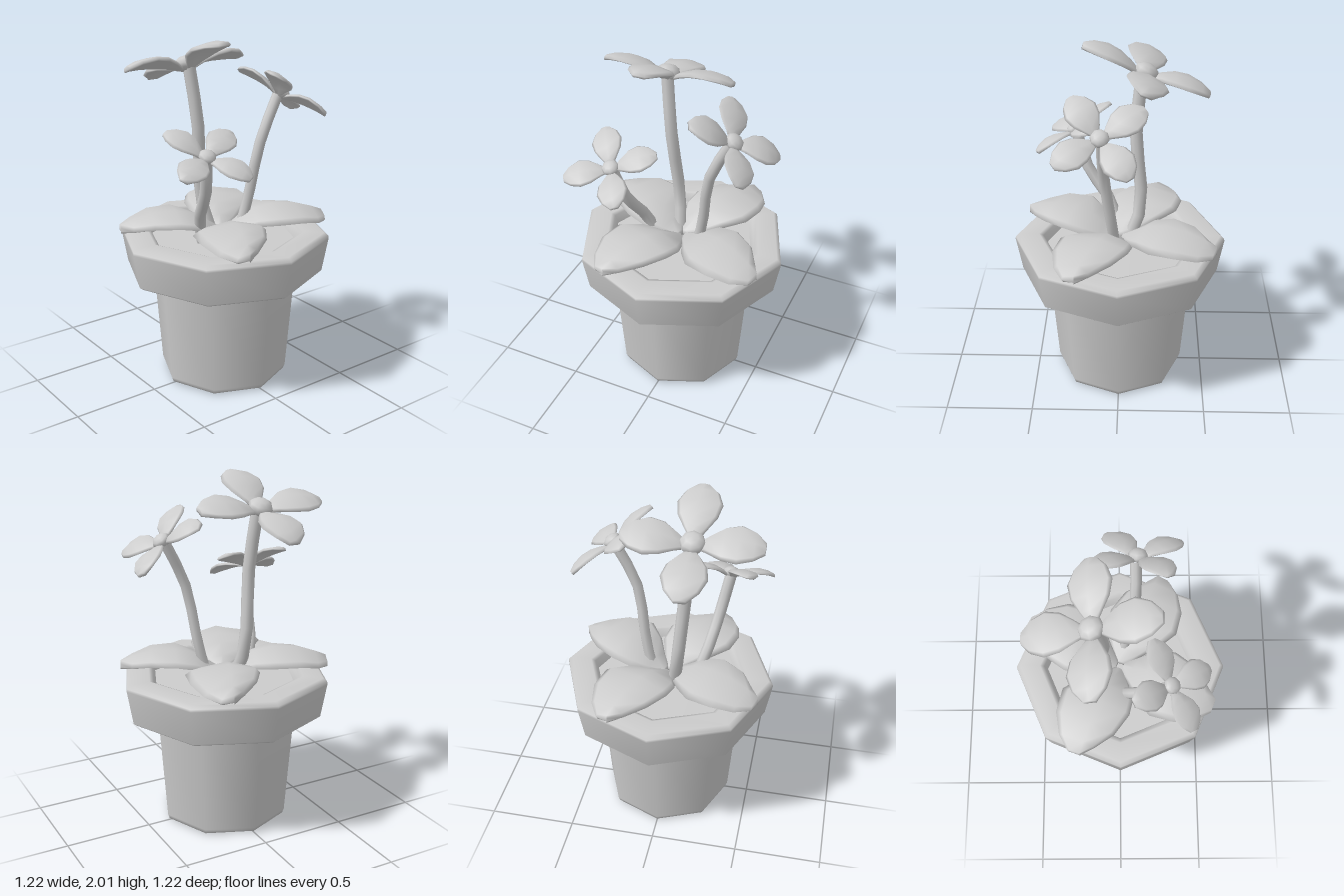
import * as THREE from 'three';

const mat = new THREE.MeshStandardMaterial({ color: 0xcccccc });
const V = (p) => new THREE.Vector3(...p);

function add(parent, name, geometry) {
  const mesh = new THREE.Mesh(geometry, mat);
  mesh.name = name;
  parent.add(mesh);
  return mesh;
}

// Octagonal turned part with corners on the axes
function turned(profile) {
  return new THREE.LatheGeometry(profile.map(([r, y]) => new THREE.Vector2(r, y)), 8);
}

// Puffy blade along +x. Each section: [x, width to -z, width to +z, height]
function blade(sections, thick, camber) {
  const ring = [[-1, 0.5], [-0.85, 0.9], [0, 1], [0.85, 0.9], [1, 0.5], [0.85, 0.1], [0, 0], [-0.85, 0.1]];
  const n = ring.length, pos = [], idx = [];
  for (const [x, wn, wp, y] of sections) {
    const wMax = Math.max(wn, wp);
    for (const [s, t] of ring) {
      const z = s < 0 ? s * wn : s * wp;
      pos.push(x, y - camber * s * s * Math.min(1, wMax * 8) + (t - 0.5) * thick, z);
    }
  }
  for (let i = 0; i < sections.length - 1; i++) {
    for (let j = 0; j < n; j++) {
      const a = i * n + j, b = i * n + (j + 1) % n;
      idx.push(a, b, b + n, a, b + n, a + n);
    }
  }
  const last = (sections.length - 1) * n;
  for (let j = 1; j < n - 1; j++) {
    idx.push(0, j + 1, j, last, last + j, last + j + 1);
  }
  const g = new THREE.BufferGeometry();
  g.setAttribute('position', new THREE.Float32BufferAttribute(pos, 3));
  g.setIndex(idx);
  g.computeVertexNormals();
  return g;
}

// Flower of four petals and a round heart, facing along `normal`
function flower(name, center, normal, petalDir, scale) {
  const group = new THREE.Group();
  group.name = name;
  const petal = blade([
    [0.04, 0.025, 0.025, -0.015],
    [0.09, 0.06, 0.06, 0.01],
    [0.16, 0.105, 0.105, 0.035],
    [0.24, 0.122, 0.122, 0.045],
    [0.32, 0.09, 0.09, 0.035],
    [0.375, 0.035, 0.035, 0.015],
  ], 0.03, 0.02);
  for (let k = 0; k < 4; k++) add(group, 'petal', petal).rotation.y = k * Math.PI / 2;
  const heart = add(group, 'flowerHeart', new THREE.SphereGeometry(0.07, 8, 6));
  heart.scale.y = 0.65;
  heart.position.y = 0.005;
  const y = V(normal).normalize();
  const z = V(petalDir).cross(y).normalize();
  const x = y.clone().cross(z);
  group.quaternion.setFromRotationMatrix(new THREE.Matrix4().makeBasis(x, y, z));
  group.position.set(...center);
  group.scale.setScalar(scale);
  return group;
}

// Bent stem with a few straight segments
function stem(points, radius) {
  const path = new THREE.CatmullRomCurve3(points.map(V), false, 'centripetal');
  return new THREE.TubeGeometry(path, 6, radius, 8);
}

export function createModel() {
  const model = new THREE.Group();
  model.name = 'pottedFlowers';

  // Pot
  add(model, 'potBody', turned([[0, 0], [0.34, 0], [0.365, 0.008], [0.375, 0.035], [0.422, 0.66]]));
  add(model, 'potRim', turned([
    [0.40, 0.645], [0.555, 0.645], [0.575, 0.66], [0.61, 0.86], [0.608, 0.875],
    [0.585, 0.895], [0.47, 0.895], [0.445, 0.885], [0.425, 0.83],
  ]));
  add(model, 'soil', turned([[0.44, 0.835], [0, 0.84]]));

  // Four broad leaves resting over the rim
  const leaf = blade([
    [0.02, 0.03, 0.03, 0.885],
    [0.09, 0.09, 0.09, 0.925],
    [0.17, 0.155, 0.17, 0.975],
    [0.28, 0.175, 0.24, 1.0],
    [0.42, 0.14, 0.22, 0.995],
    [0.53, 0.06, 0.155, 0.965],
    [0.595, 0.0, 0.075, 0.94],
  ], 0.04, 0.035);
  for (let k = 0; k < 4; k++) {
    add(model, 'leaf', leaf).rotation.y = Math.atan2(0.39, -0.92) + k * Math.PI / 2;
  }

  // Stems and flowers
  const plants = [
    {
      name: 'tallFlower', center: [-0.14, 1.84, 0.15], normal: [-0.37, 0.93, 0], dir: [1, 0.4, 0], scale: 1,
      path: [[-0.05, 0.84, 0.04], [-0.12, 1.05, 0.07], [-0.09, 1.5, 0.11], [-0.12, 1.83, 0.145]], radius: 0.036,
    },
    {
      name: 'backFlower', center: [0.095, 1.66, -0.335], normal: [0.03, 0.79, -0.61], dir: [0.3, 0.26, 0.35], scale: 0.76,
      path: [[0.02, 0.84, -0.09], [0.04, 1.03, -0.14], [0.085, 1.4, -0.2], [0.085, 1.65, -0.32]], radius: 0.031,
    },
    {
      name: 'lowFlower', center: [0.27, 1.43, 0.305], normal: [0.46, 0.88, 0.05], dir: [0.41, -0.2, -0.26], scale: 0.7,
      path: [[0.0, 0.84, 0.15], [0.06, 1.01, 0.21], [0.19, 1.2, 0.26], [0.26, 1.42, 0.305]], radius: 0.033,
    },
  ];
  for (const p of plants) {
    add(model, p.name + 'Stem', stem(p.path, p.radius));
    model.add(flower(p.name, p.center, p.normal, p.dir, p.scale));
  }
  return model;
}
